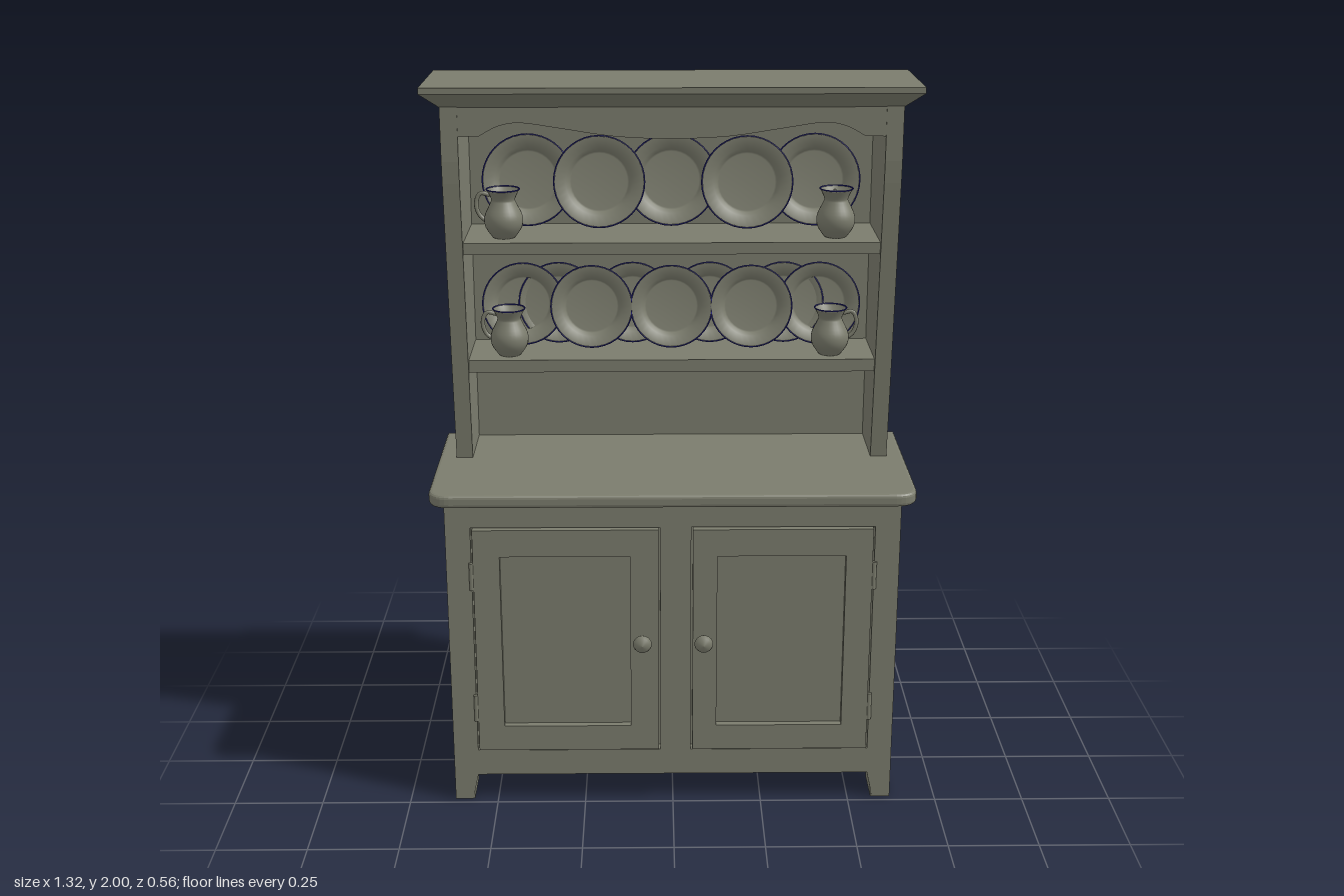
import * as THREE from 'three';
import { ConvexGeometry } from 'three/addons/geometries/ConvexGeometry.js';

export function createModel() {
  const root = new THREE.Group();
  root.name = 'dresser';
  const paint = new THREE.MeshStandardMaterial({ color: 0x7b7c6d, side: THREE.DoubleSide });
  paint.name = 'greyGreenPaint';
  const blue = new THREE.MeshStandardMaterial({ color: 0x23237e });
  blue.name = 'blueRim';

  const add = (name, geo, mat = paint, parent = root) => {
    const m = new THREE.Mesh(geo, mat);
    m.name = name;
    parent.add(m);
    return m;
  };
  // Box given by its limits on each axis
  const box = (name, x0, x1, y0, y1, z0, z1, parent) => {
    const g = new THREE.BoxGeometry(x1 - x0, y1 - y0, z1 - z0);
    g.translate((x0 + x1) / 2, (y0 + y1) / 2, (z0 + z1) / 2);
    return add(name, g, paint, parent);
  };
  const poly = (pts) => new THREE.Shape(pts.map(([x, y]) => new THREE.Vector2(x, y)));
  const rect = (x0, x1, y0, y1) => poly([[x0, y0], [x1, y0], [x1, y1], [x0, y1]]);
  const extrude = (shape, depth) => new THREE.ExtrudeGeometry(shape, { depth, bevelEnabled: false });
  // Side board: profile in (z, y), spanning x0 to x0 + depth
  const sideBoard = (name, pts, x0, depth) => {
    const g = extrude(poly(pts), depth);
    g.rotateY(-Math.PI / 2);
    g.translate(x0 + depth, 0, 0);
    return add(name, g);
  };

  // ---- Base cabinet ----
  const baseSide = [[-0.265, 0], [-0.14, 0], [-0.105, 0.075], [0.085, 0.075], [0.12, 0],
    [0.228, 0], [0.228, 0.91], [-0.265, 0.91]];
  sideBoard('baseSideRight', baseSide, -0.622, 0.055);
  sideBoard('baseSideLeft', baseSide, 0.567, 0.055);
  box('baseCore', -0.57, 0.57, 0.078, 0.91, -0.262, 0.2);

  // Face frame with two door openings and sloped foot brackets
  const face = poly([[-0.622, 0], [-0.572, 0], [-0.555, 0.078], [0.555, 0.078], [0.572, 0],
    [0.622, 0], [0.622, 0.91], [-0.622, 0.91]]);
  const doors = [
    { side: 'Right', x0: -0.553, x1: -0.035, p0: -0.475, p1: -0.118, knob: -0.085, hinge: -0.553 },
    { side: 'Left', x0: 0.05, x1: 0.553, p0: 0.122, p1: 0.475, knob: 0.085, hinge: 0.553 },
  ];
  for (const d of doors) face.holes.push(rect(d.x0, d.x1, 0.155, 0.833));
  const faceGeo = extrude(face, 0.035);
  faceGeo.translate(0, 0, 0.195);
  add('faceFrame', faceGeo);

  // Doors with sunk panels, knobs and hinges
  const knobProfile = [[0, 0], [0.013, 0], [0.011, 0.012], [0.022, 0.02], [0.026, 0.03],
    [0.021, 0.042], [0, 0.047]].map(([r, y]) => new THREE.Vector2(r, y));
  for (const d of doors) {
    const door = new THREE.Group();
    door.name = 'door' + d.side;
    root.add(door);
    const frame = rect(d.x0 + 0.005, d.x1 - 0.005, 0.16, 0.828);
    frame.holes.push(rect(d.p0, d.p1, 0.235, 0.75));
    const g = extrude(frame, 0.035);
    g.translate(0, 0, 0.203);
    add('doorFrame', g, paint, door);
    box('doorPanel', d.p0, d.p1, 0.235, 0.75, 0.2, 0.218, door);
    const k = new THREE.LatheGeometry(knobProfile, 20);
    k.rotateX(Math.PI / 2);
    k.translate(d.knob, 0.5, 0.236);
    add('knob', k, paint, door);
    for (const y of [0.29, 0.69]) {
      const h = new THREE.CylinderGeometry(0.007, 0.007, 0.08, 10);
      h.translate(d.hinge, y, 0.232);
      add('hinge', h, paint, door);
    }
  }

  // ---- Worktop with rounded front corners ----
  const W = 0.652, F = 0.262, B = -0.265, R = 0.05;
  const slab = new THREE.Shape();
  slab.moveTo(-W, -B);
  slab.lineTo(-W, -F + R);
  slab.quadraticCurveTo(-W, -F, -W + R, -F);
  slab.lineTo(W - R, -F);
  slab.quadraticCurveTo(W, -F, W, -F + R);
  slab.lineTo(W, -B);
  slab.closePath();
  const slabGeo = new THREE.ExtrudeGeometry(slab,
    { depth: 0.016, bevelThickness: 0.01, bevelSize: 0.01, bevelSegments: 3, curveSegments: 8 });
  slabGeo.rotateX(-Math.PI / 2);
  slabGeo.translate(0, 0.914, 0);
  add('worktop', slabGeo);

  // ---- Upper rack ----
  const rackSide = [[-0.27, 0.935], [-0.045, 0.935], [0.038, 1.74], [0.042, 1.8], [0.042, 1.95], [-0.27, 1.95]];
  sideBoard('rackSideRight', rackSide, -0.612, 0.046);
  sideBoard('rackSideLeft', rackSide, 0.566, 0.046);
  box('rackBack', -0.57, 0.57, 0.935, 1.95, -0.268, -0.248);
  box('lowerShelf', -0.57, 0.57, 1.197, 1.232, -0.25, -0.03);
  box('upperShelf', -0.57, 0.57, 1.54, 1.572, -0.25, 0.005);

  // Scalloped frieze under the crown
  const half = [[0.51, 1.867], [0.46, 1.893], [0.4, 1.902], [0.3, 1.888], [0.15, 1.866]];
  const wave = new THREE.SplineCurve([
    ...half.map(([x, y]) => new THREE.Vector2(-x, y)), new THREE.Vector2(0, 1.86),
    ...half.slice().reverse().map(([x, y]) => new THREE.Vector2(x, y))]).getPoints(40);
  const frieze = new THREE.Shape([new THREE.Vector2(-0.57, 1.95), new THREE.Vector2(-0.57, 1.865),
    ...wave, new THREE.Vector2(0.57, 1.865), new THREE.Vector2(0.57, 1.95)]);
  const friezeGeo = extrude(frieze, 0.024);
  friezeGeo.translate(0, 0, 0.016);
  add('frieze', friezeGeo);

  // Flared crown
  const crown = [];
  for (const [y, x, z] of [[1.943, 0.612, 0.04], [1.978, 0.648, 0.082], [1.984, 0.66, 0.09], [2, 0.66, 0.09]])
    for (const s of [-1, 1]) crown.push(new THREE.Vector3(s * x, y, z), new THREE.Vector3(s * x, y, -0.274));
  // the back face stays flush, so each ring shares the same rear depth
  add('crown', new ConvexGeometry(crown));

  // ---- Plates leaning on the back ----
  const plateProfile = [[0, 0.008], [0.62, 0.008], [0.66, 0.016], [0.74, 0.03], [0.97, 0.042], [1, 0.038],
    [0.97, 0.032], [0.74, 0.02], [0.62, 0], [0, 0]];
  const plate = (x, shelfY, r, z) => {
    const p = new THREE.Group();
    p.name = 'plate';
    const pts = plateProfile.map(([a, h]) => new THREE.Vector2(a * r, h * 0.8)).reverse();
    const g = new THREE.LatheGeometry(pts, 36);
    g.rotateX(Math.PI / 2);
    add('plateDish', g, paint, p);
    const rim = new THREE.TorusGeometry(r, 0.002, 5, 40);
    rim.translate(0, 0, 0.031);
    add('plateRim', rim, blue, p);
    p.rotation.x = -0.17;
    p.position.set(x, shelfY + r * 0.985 + 0.008, z);
    root.add(p);
  };
  for (const [x, z] of [[-0.4, -0.215], [-0.2, -0.185], [0, -0.215], [0.21, -0.175], [0.4, -0.215]])
    plate(x, 1.572, 0.126, z);
  for (const [x, z] of [[-0.42, -0.2], [-0.225, -0.165], [0, -0.165], [0.225, -0.165], [0.42, -0.2]])
    plate(x, 1.232, 0.115, z);
  for (const x of [-0.32, -0.11, 0.11, 0.32]) plate(x, 1.232, 0.113, -0.222);

  // ---- Jugs ----
  const jugProfile = new THREE.SplineCurve([[0.03, 0], [0.05, 0.03], [0.052, 0.06], [0.036, 0.095],
    [0.033, 0.108], [0.045, 0.134]].map(([r, y]) => new THREE.Vector2(r, y))).getPoints(20);
  const jugPts = [new THREE.Vector2(0, 0), ...jugProfile, new THREE.Vector2(0.029, 0.106), new THREE.Vector2(0, 0.1)];
  const jug = (x, y, z, turn) => {
    const j = new THREE.Group();
    j.name = 'jug';
    add('jugBody', new THREE.LatheGeometry(jugPts, 28), paint, j);
    const rim = new THREE.TorusGeometry(0.045, 0.002, 5, 28);
    rim.rotateX(Math.PI / 2);
    rim.translate(0, 0.134, 0);
    add('jugRim', rim, blue, j);
    const path = new THREE.CatmullRomCurve3([[0.036, 0.118], [0.062, 0.122], [0.074, 0.095], [0.065, 0.062], [0.046, 0.045]]
      .map(([a, b]) => new THREE.Vector3(a, b, 0)));
    add('jugHandle', new THREE.TubeGeometry(path, 16, 0.006, 8), paint, j);
    j.position.set(x, y, z);
    j.rotation.y = turn;
    root.add(j);
  };
  jug(-0.46, 1.572, -0.07, Math.PI);
  jug(0.45, 1.572, -0.07, Math.PI / 2);
  jug(-0.455, 1.232, -0.09, Math.PI);
  jug(0.445, 1.232, -0.09, 0);

  return root;
}
